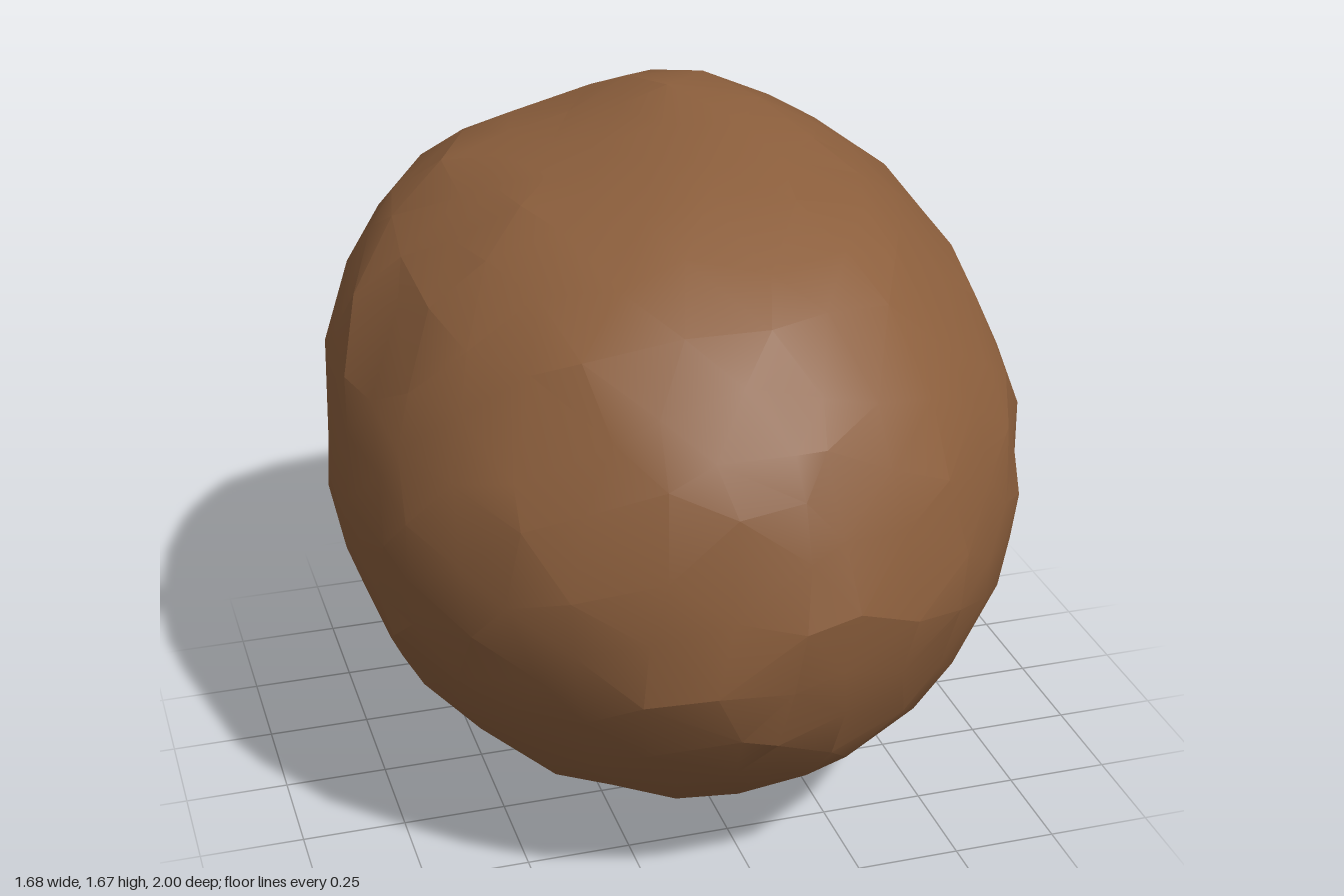
import * as THREE from 'three';
import { mergeVertices, toCreasedNormals } from 'three/addons/utils/BufferGeometryUtils.js';

// Section controls along z: [z, centre height, half height, left (+x) and right (-x) half width],
// where the half sizes are factors of the round section sqrt(1 - z^2)
const SECTIONS = [
  [-1.00, 0.94, 0.77, 0.80, 0.95],
  [-0.90, 0.99, 0.77, 0.80, 0.95],
  [-0.75, 0.985, 0.79, 0.81, 0.90],
  [-0.40, 0.94, 0.81, 0.85, 0.84],
  [0.00, 0.85, 0.82, 0.845, 0.835],
  [0.50, 0.835, 0.81, 0.835, 0.87],
  [0.78, 0.825, 0.80, 0.84, 0.86],
  [1.00, 0.80, 0.80, 0.86, 0.86],
];

// Dents and bumps: [x, y, z, radius, depth along the outward direction]
const LUMPS = [
  // groove over the top and down the back
  [-0.20, 1.66, 0.12, 0.22, -0.045],
  [-0.23, 1.64, -0.22, 0.25, -0.07],
  [-0.17, 1.60, -0.55, 0.24, -0.05],
  [-0.10, 1.48, -0.78, 0.24, -0.05],
  // hollows at the upper left and along the lower sides
  [0.38, 1.50, -0.55, 0.22, -0.055],
  [0.02, 1.55, 0.45, 0.18, -0.03],
  [0.55, 0.28, 0.20, 0.28, -0.035],
  [-0.58, 0.26, 0.00, 0.25, -0.03],
  // raised spots
  [0.12, 1.68, -0.35, 0.18, 0.015],
  [-0.71, 1.30, -0.20, 0.20, 0.03],
  [-0.85, 1.05, 0.00, 0.14, 0.025],
  [-0.03, 0.02, 0.07, 0.16, 0.025],
  [0.10, 0.95, -1.00, 0.18, 0.015],
];

function sectionAt(z) {
  let i = 0;
  while (i < SECTIONS.length - 2 && z > SECTIONS[i + 1][0]) i++;
  const a = SECTIONS[i], b = SECTIONS[i + 1];
  const t = THREE.MathUtils.clamp((z - a[0]) / (b[0] - a[0]), 0, 1);
  return a.map((v, k) => v + (b[k] - v) * t);
}

function seeded(seed) {
  return () => {
    seed = (seed * 16807) % 2147483647;
    return seed / 2147483647;
  };
}

function rockGeometry() {
  const ball = new THREE.IcosahedronGeometry(1, 5);
  ball.deleteAttribute('normal');
  ball.deleteAttribute('uv');
  const geo = mergeVertices(ball, 1e-4);
  const pos = geo.attributes.position;
  const rand = seeded(4217);
  const d = new THREE.Vector3(), p = new THREE.Vector3();

  for (let i = 0; i < pos.count; i++) {
    // Uneven facets: nudge each direction over the ball
    d.fromBufferAttribute(pos, i);
    d.x += (rand() - 0.5) * 0.1;
    d.y += (rand() - 0.5) * 0.1;
    d.z += (rand() - 0.5) * 0.1;
    d.normalize();

    // Fit to the tilted egg-shaped body
    const [, cy, h, wl, wr] = sectionAt(d.z);
    const w = THREE.MathUtils.lerp(wr, wl, THREE.MathUtils.smoothstep(d.x, -0.3, 0.3));
    p.set(d.x * w, cy + d.y * h, d.z);

    // Rough surface, then the larger dents and bumps
    let out = (rand() - 0.6) * 0.02;
    for (const [x, y, z, r, depth] of LUMPS) {
      const q = Math.hypot(p.x - x, p.y - y, p.z - z) / r;
      out += depth * Math.exp(-q * q * 1.5);
    }
    p.addScaledVector(d, out);
    pos.setXYZ(i, p.x, p.y, p.z);
  }

  // Stand on the ground, centred
  geo.computeBoundingBox();
  const mid = geo.boundingBox.getCenter(new THREE.Vector3());
  geo.translate(-mid.x, -geo.boundingBox.min.y, -mid.z);
  return toCreasedNormals(geo, 0.3);
}

export function createModel() {
  const brown = new THREE.MeshStandardMaterial({ color: 0x8b5e3c });
  brown.name = 'earthBrown';

  const rock = new THREE.Mesh(rockGeometry(), brown);
  rock.name = 'rockBody';

  const model = new THREE.Group();
  model.name = 'rock';
  model.add(rock);
  return model;
}
